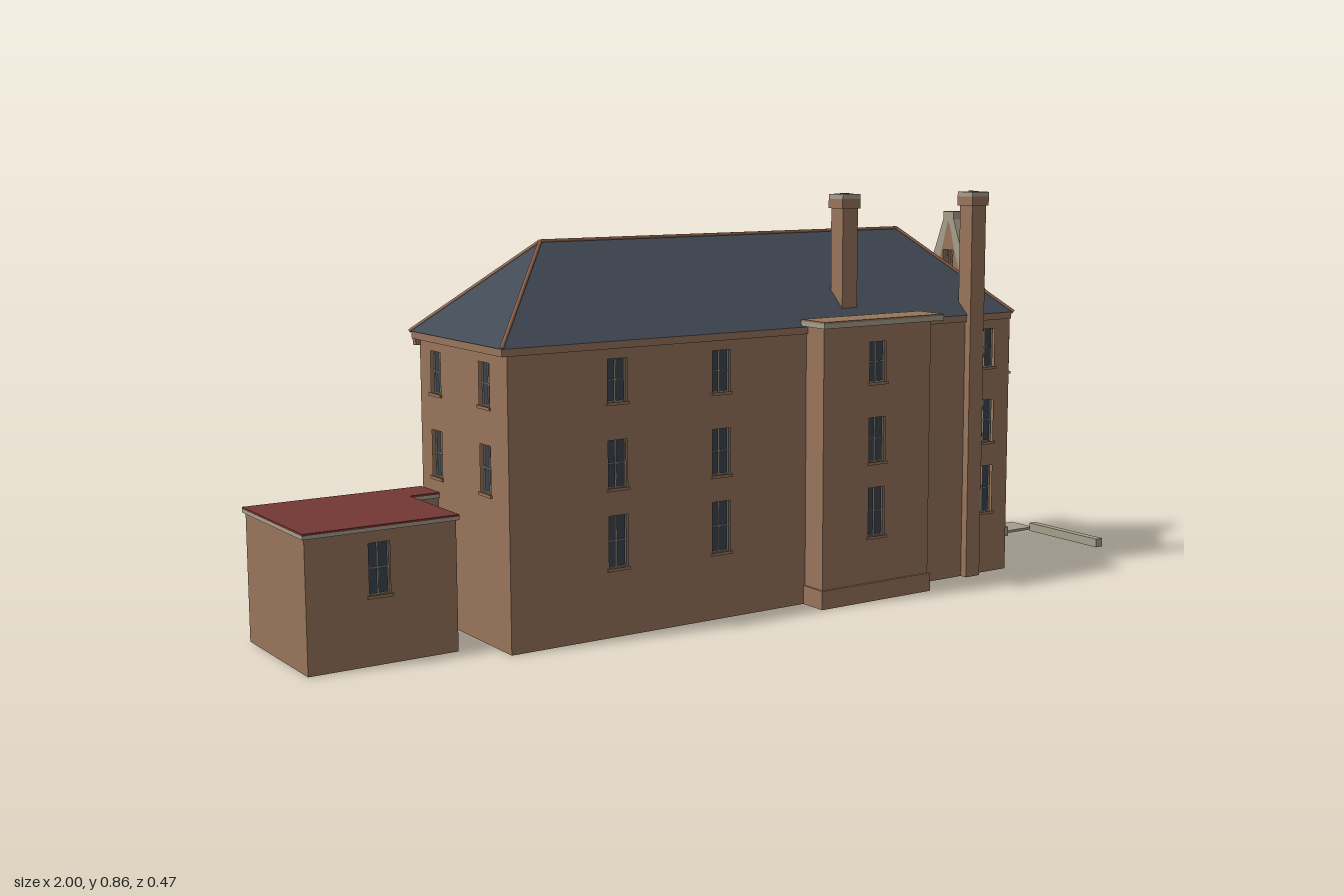
import * as THREE from 'three';

const mat = (name, color, side = THREE.FrontSide) => {
  const m = new THREE.MeshStandardMaterial({ color, side });
  m.name = name;
  return m;
};
const V2 = (x, y) => new THREE.Vector2(x, y);

export function createModel() {
  const brick = mat('brick', 0x98745a, THREE.DoubleSide);
  const slate = mat('slate', 0x414955, THREE.DoubleSide);
  const trim = mat('limestone', 0xa69e8b);
  const redRoof = mat('redRoof', 0x743833);
  const glass = mat('glass', 0x3a424e);
  const tile = mat('ridgeTile', 0x8c6048);
  const doorMat = mat('doorWood', 0xa06f50);

  const model = new THREE.Group();
  model.name = 'townhouse';

  const add = (g, name, geo, m) => {
    const mesh = new THREE.Mesh(geo, m);
    mesh.name = name;
    g.add(mesh);
    return mesh;
  };
  // Box given by its limits along the three axes of its group
  const box = (g, name, m, x0, x1, y0, y1, z0, z1) => {
    const b = add(g, name, new THREE.BoxGeometry(x1 - x0, y1 - y0, z1 - z0), m);
    b.position.set((x0 + x1) / 2, (y0 + y1) / 2, (z0 + z1) / 2);
    return b;
  };
  const extrude = (g, name, m, shape, z0, z1) => {
    const geo = new THREE.ExtrudeGeometry(shape, { depth: z1 - z0, bevelEnabled: false, curveSegments: 8 });
    return add(g, name, geo.translate(0, 0, z0), m);
  };
  const rect = (u0, u1, v0, v1) => [V2(u0, v0), V2(u1, v0), V2(u1, v1), V2(u0, v1)];
  // Local frame for one side of the building: u across, v up, w outwards
  const side = (name, x, z, turn) => {
    const g = new THREE.Group();
    g.name = name;
    g.position.set(x, 0, z);
    g.rotation.y = turn;
    model.add(g);
    return g;
  };
  // Recessed pane with glazing bars
  const pane = (g, u0, u1, v0, v1, w, cols = 2, rows = 4) => {
    add(g, 'pane', new THREE.PlaneGeometry(u1 - u0, v1 - v0), glass).position.set((u0 + u1) / 2, (v0 + v1) / 2, w);
    const t = 0.0012;
    for (let i = 0; i <= cols; i++) {
      const u = u0 + (u1 - u0) * i / cols;
      box(g, 'glazingBar', trim, u - t, u + t, v0, v1, w, w + 0.003);
    }
    for (let j = 0; j <= rows; j++) {
      const v = v0 + (v1 - v0) * j / rows;
      box(g, 'glazingBar', trim, u0, u1, v - t, v + t, w, w + 0.003);
    }
  };
  // Flat wall with window openings
  const wall = (g, u0, u1, v1, windows = []) => {
    const s = new THREE.Shape(rect(u0, u1, 0, v1));
    for (const q of windows) {
      s.holes.push(new THREE.Path(rect(...q)));
      pane(g, ...q, -0.01, 2, 2);
      box(g, 'sill', brick, q[0] - 0.004, q[1] + 0.004, q[2] - 0.006, q[2], 0, 0.004);
    }
    add(g, 'wall', new THREE.ShapeGeometry(s), brick);
  };
  const storeys = [[0.14, 0.245], [0.3, 0.395], [0.47, 0.555]];
  const column = (u, rows = storeys) => rows.map(([a, b]) => [u - 0.022, u + 0.022, a, b]);

  // Main block
  wall(side('southWall', 0, 0.155, 0), -0.62, 0.65, 0.59, [-0.38, -0.135, 0.583].flatMap(u => column(u)));
  wall(side('northWall', 0, -0.22, Math.PI), -0.65, 0.62, 0.59);
  wall(side('westWall', -0.62, 0, -Math.PI / 2), -0.22, 0.155, 0.59, [-0.15, 0.06].flatMap(u => column(u, storeys.slice(1))));

  // Eaves cornice
  box(model, 'southCornice', brick, -0.63, 0.65, 0.575, 0.59, 0.153, 0.16);
  box(model, 'northCornice', brick, -0.63, 0.6, 0.562, 0.59, -0.232, -0.218);
  box(model, 'westCornice', brick, -0.633, -0.618, 0.575, 0.59, -0.23, 0.16);

  // Hipped roof
  const [A, B, C, D, E, F] = [[-0.635, 0.59, 0.162], [0.655, 0.59, 0.162], [0.655, 0.59, -0.235],
    [-0.635, 0.59, -0.235], [-0.44, 0.775, -0.037], [0.475, 0.775, -0.037]];
  const roof = new THREE.BufferGeometry();
  const faces = [A, B, F, A, F, E, B, C, F, C, D, E, C, E, F, D, A, E];
  roof.setAttribute('position', new THREE.Float32BufferAttribute(faces.flat(), 3));
  roof.computeVertexNormals();
  add(model, 'hippedRoof', roof, slate);
  for (const [p, q] of [[A, E], [D, E], [B, F], [C, F], [E, F]]) {
    const line = new THREE.LineCurve3(new THREE.Vector3(...p), new THREE.Vector3(...q));
    add(model, 'ridgeTiles', new THREE.TubeGeometry(line, 1, 0.004, 6), tile);
  }

  // Projecting south bay
  const bay = side('southBay', 0, 0.215, 0);
  wall(bay, 0.08, 0.365, 0.59, column(0.222));
  for (const x of [0.08, 0.365]) box(bay, 'bayReturn', brick, x - 0.001, x + 0.001, 0, 0.59, -0.06, 0);
  box(bay, 'bayCapEdge', trim, 0.065, 0.385, 0.592, 0.602, -0.06, 0.02);
  box(bay, 'bayCapTop', brick, 0.065, 0.385, 0.602, 0.606, -0.06, 0.02);
  box(bay, 'bayPlinth', brick, 0.075, 0.37, 0, 0.04, -0.06, 0.005);

  // Chimneys
  for (const [x, z, y0] of [[0.212, 0.11, 0.59], [0.537, 0.152, 0]]) {
    box(model, 'chimneyStack', brick, x - 0.02, x + 0.02, y0, 0.835, z - 0.02, z + 0.02);
    box(model, 'chimneyHead', brick, x - 0.024, x + 0.024, 0.83, 0.85, z - 0.024, z + 0.024);
    box(model, 'chimneyCap', trim, x - 0.024, x + 0.024, 0.85, 0.86, z - 0.024, z + 0.024);
    for (const d of [-0.008, 0.008]) box(model, 'flue', slate, x - 0.004, x + 0.004, 0.858, 0.862, z + d - 0.004, z + d + 0.004);
  }

  // Low rear wing
  wall(side('wingSouthWall', 0, 0.07, 0), -0.995, -0.69, 0.265, [[-0.87, -0.827, 0.135, 0.235]]);
  wall(side('wingNorthWall', 0, -0.225, Math.PI), 0.62, 0.995, 0.265);
  wall(side('wingWestWall', -0.995, 0, -Math.PI / 2), -0.225, 0.07, 0.265);
  wall(side('wingEastWall', -0.69, 0, Math.PI / 2), -0.07, 0.15, 0.265);
  wall(side('linkSouthWall', 0, -0.15, 0), -0.69, -0.62, 0.265);
  const wing = new THREE.Shape([V2(-1, -0.075), V2(-0.685, -0.075), V2(-0.685, 0.145), V2(-0.62, 0.145), V2(-0.62, 0.23), V2(-1, 0.23)]);
  extrude(model, 'wingCoping', trim, wing, 0.258, 0.265).rotation.x = -Math.PI / 2;
  extrude(model, 'wingRoof', redRoof, wing, 0.265, 0.269).rotation.x = -Math.PI / 2;

  // Street facade: u = -z, outwards = +x
  const f = side('streetFacade', 0.65, 0, Math.PI / 2);
  const mid = 0.035;
  const curve = (pts, s) => new THREE.SplineCurve(pts.map(([d, v]) => V2(mid + s * d, v))).getPoints(18);
  const outer = [[0.014, 0.8], [0.024, 0.775], [0.04, 0.735], [0.06, 0.69], [0.09, 0.635], [0.13, 0.58]];
  const inner = [[0.002, 0.785], [0.009, 0.765], [0.022, 0.72], [0.042, 0.67], [0.07, 0.618], [0.11, 0.563]];
  const outR = curve([...outer, [0.185, 0.515]], 1), inR = curve([...inner, [0.185, 0.493]], 1);
  const outL = curve([...outer.slice(0, 5), [0.146, 0.592]], -1), inL = curve([...inner.slice(0, 5), [0.142, 0.578]], -1);

  const front = new THREE.Shape([V2(-0.155, 0), V2(0.22, 0), ...[...inR].reverse(), ...inL, V2(-0.155, 0.585)]);
  const doorPath = (Type, c, r, v0, vs) => {
    const p = new Type();
    p.moveTo(c - r, v0);
    p.lineTo(c + r, v0);
    p.lineTo(c + r, vs);
    p.absarc(c, vs, r, 0, Math.PI, false);
    p.lineTo(c - r, v0);
    return p;
  };
  const openings = [
    [0.018, 0.033, 0.68, 0.72, 1, 3], [0.037, 0.052, 0.68, 0.72, 1, 3],
    [-0.015, 0.042, 0.477, 0.565, 4, 4], [0.05, 0.107, 0.477, 0.565, 4, 4],
    [0.102, 0.141, 0.302, 0.398, 1, 2], [0.15, 0.168, 0.318, 0.365, 2, 3],
    [-0.055, -0.008, 0.107, 0.213, 4, 6], [-0.001, 0.045, 0.107, 0.213, 4, 6],
    ...[-0.057, -0.005, 0.045].map(u => [u - 0.015, u + 0.015, 0.025, 0.044, 3, 1])
  ];
  for (const [u0, u1, v0, v1, c, r] of openings) {
    front.holes.push(new THREE.Path(rect(u0, u1, v0, v1)));
    pane(f, u0, u1, v0, v1, -0.012, c, r);
  }
  front.holes.push(doorPath(THREE.Path, 0.152, 0.025, 0.1, 0.188));
  extrude(f, 'facadeWall', brick, front, -0.02, 0);

  // Curved gable coping
  extrude(f, 'gableCoping', trim, new THREE.Shape([...outR, ...[...inR].reverse()]), -0.02, 0.014);
  extrude(f, 'gableCoping', trim, new THREE.Shape([...outL, ...[...inL].reverse()]), -0.02, 0.014);
  box(f, 'gableFinial', trim, mid - 0.018, mid + 0.018, 0.785, 0.808, -0.02, 0.015);
  const back = new THREE.Shape([V2(0.1, 0.45), V2(0.218, 0.45), V2(0.218, 0.59), V2(0.175, 0.635), V2(0.15, 0.635), V2(0.1, 0.58)]);
  extrude(f, 'gableShoulder', brick, back, -0.05, -0.019);

  // Stone dressings
  const stone = (name, u0, u1, v0, v1, w = 0.006) => box(f, name, trim, u0, u1, v0, v1, -0.002, w);
  const quoins = (u0, u1, v0, v1, n, a, b) => {
    for (let i = 0; i < n; i++) {
      const t = i % 2 ? a : b, h = (v1 - v0) / n;
      stone('quoin', u0 - t, u0, v0 + h * i, v0 + h * (i + 1));
      stone('quoin', u1, u1 + t, v0 + h * i, v0 + h * (i + 1));
    }
  };
  stone('stringCourse', -0.155, 0.22, 0.449, 0.455);
  stone('cornerPanel', -0.152, -0.128, 0.455, 0.57, 0.003);
  stone('baseCourse', -0.152, 0.1, 0.074, 0.095, 0.012);
  stone('baseCourse', 0.21, 0.22, 0.074, 0.095, 0.012);
  stone('atticSill', 0.014, 0.056, 0.674, 0.68);
  stone('crossShaft', 0.042, 0.048, 0.585, 0.64);
  stone('crossArm', 0.032, 0.058, 0.602, 0.608);
  stone('crossArm', 0.036, 0.054, 0.618, 0.623);
  stone('upperLintel', -0.03, 0.122, 0.565, 0.585, 0.01);
  stone('upperMullion', 0.042, 0.05, 0.477, 0.565);
  quoins(-0.015, 0.107, 0.477, 0.565, 5, 0.004, 0.013);
  stone('lowerLintel', -0.075, 0.067, 0.213, 0.237, 0.01);
  stone('lowerMullion', -0.008, -0.001, 0.107, 0.213);
  stone('lowerSill', -0.068, 0.058, 0.098, 0.107, 0.01);
  quoins(-0.055, 0.045, 0.107, 0.213, 6, 0.009, 0.019);
  stone('smallLintel', 0.145, 0.175, 0.365, 0.384);
  stone('smallSill', 0.145, 0.175, 0.308, 0.318);
  quoins(0.15, 0.168, 0.318, 0.365, 3, 0.015, 0.008);
  for (const u of [-0.057, -0.005, 0.045]) {
    stone('basementLintel', u - 0.022, u + 0.022, 0.046, 0.06);
    stone('basementKeystone', u - 0.006, u + 0.006, 0.044, 0.064, 0.009);
  }

  // Oriel on stepped corbels
  box(f, 'orielBody', brick, -0.085, 0.08, 0.27, 0.455, 0, 0.028);
  [0.075, 0.07, 0.064].forEach((r, i) =>
    box(f, 'orielCorbel', brick, -0.003 - r, -0.003 + r, 0.258 - i * 0.012, 0.27 - i * 0.012, 0, 0.024 - i * 0.006));
  box(f, 'orielSill', brick, -0.09, 0.085, 0.284, 0.292, 0, 0.032);
  box(f, 'orielCornice', brick, -0.09, 0.085, 0.445, 0.458, 0, 0.033);
  box(f, 'orielCap', trim, -0.092, 0.087, 0.458, 0.464, 0, 0.035);
  for (const u of [-0.057, -0.005, 0.046]) {
    pane(f, u - 0.017, u + 0.017, 0.302, 0.408, 0.0285, 1, 1);
    box(f, 'orielTransom', trim, u - 0.017, u + 0.017, 0.376, 0.381, 0.028, 0.033);
    pane(f, u - 0.015, u + 0.015, 0.381, 0.406, 0.029, 3, 2);
  }

  // Entrance
  const surround = new THREE.Shape(rect(0.105, 0.2, 0.1, 0.226));
  surround.holes.push(doorPath(THREE.Path, 0.152, 0.028, 0.1, 0.188));
  extrude(f, 'doorSurround', trim, surround, 0, 0.012);
  add(f, 'door', new THREE.PlaneGeometry(0.054, 0.094), doorMat).position.set(0.152, 0.147, -0.012);
  add(f, 'fanlight', new THREE.CircleGeometry(0.026, 12, 0, Math.PI), glass).position.set(0.152, 0.192, -0.011);
  for (let i = 0; i < 4; i++) box(f, 'doorPanel', doorMat, 0.136, 0.168, 0.108 + i * 0.021, 0.123 + i * 0.021, -0.012, -0.009);
  stone('doorEntablature', 0.113, 0.196, 0.234, 0.26, 0.016);
  stone('doorCornice', 0.107, 0.157, 0.26, 0.267, 0.02);
  stone('doorCornice', 0.155, 0.224, 0.266, 0.276, 0.014);

  // Front steps with sloping cheek walls
  const steps = new THREE.Group();
  steps.name = 'frontSteps';
  model.add(steps);
  box(steps, 'topLanding', trim, 0.65, 0.69, 0, 0.1, -0.198, -0.11);
  for (let i = 0; i < 10; i++) {
    box(steps, 'step', trim, 0.69 + 0.018 * i, 0.708 + 0.018 * i, 0, 0.092 - 0.0092 * i, -0.198, -0.11);
  }
  const cheek = new THREE.Shape([V2(0.65, 0), V2(0.875, 0), V2(0.875, 0.02), V2(0.71, 0.115), V2(0.65, 0.115)]);
  for (const z of [-0.213, -0.11]) extrude(steps, 'cheekWall', trim, cheek, z, z + 0.015);
  box(steps, 'path', trim, 0.87, 1, 0, 0.006, -0.195, -0.12);
  box(model, 'frontKerb', trim, 0.98, 1, 0, 0.02, -0.11, 0.12);

  return model;
}
